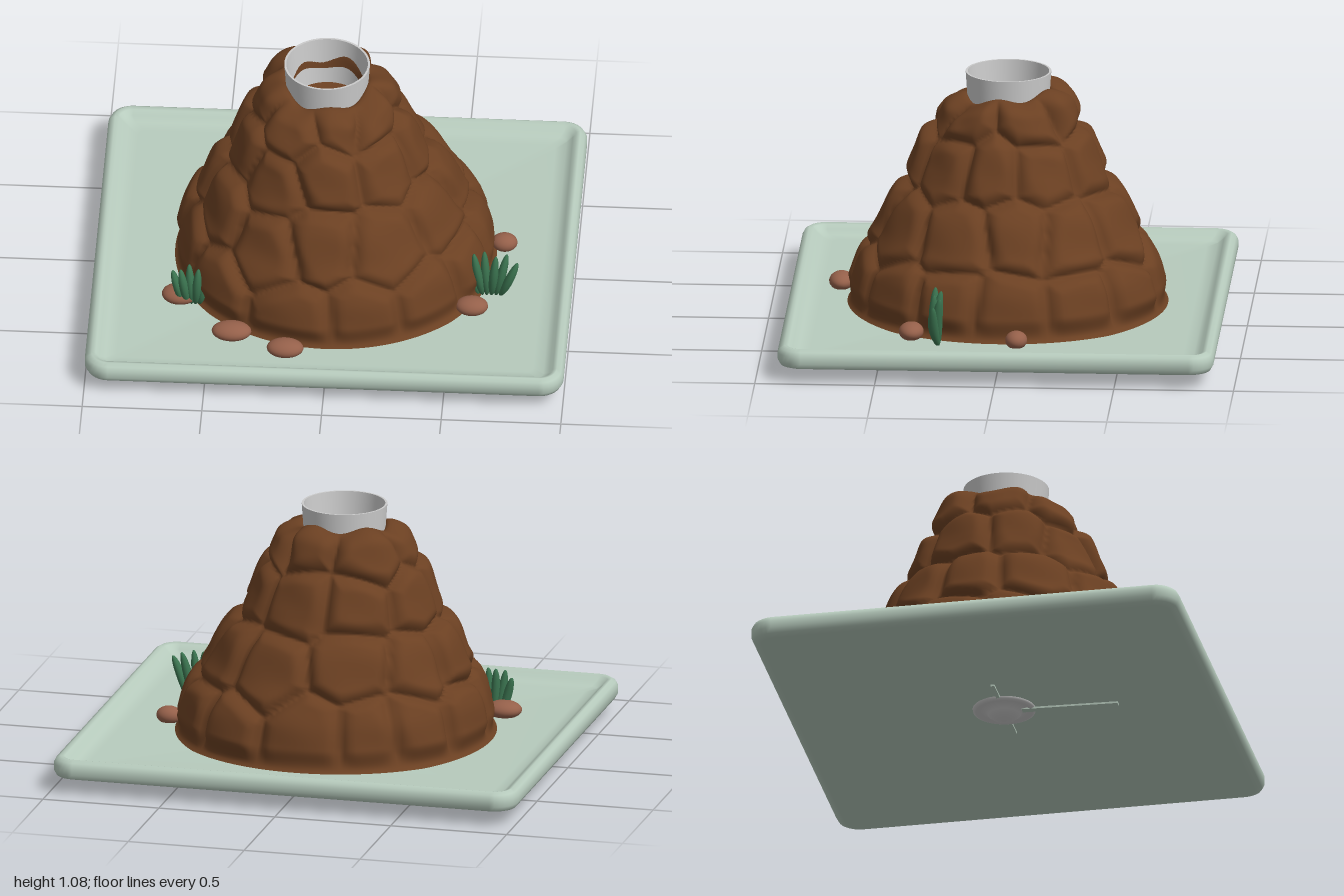
import * as THREE from 'three';
import { mergeVertices } from 'three/addons/utils/BufferGeometryUtils.js';

const mat = (name, color, side = THREE.FrontSide) => {
  const m = new THREE.MeshStandardMaterial({ color, side });
  m.name = name;
  return m;
};
const smooth = THREE.MathUtils.smoothstep;
const V2 = (a) => a.map(([x, y]) => new THREE.Vector2(x, y));

// Seeded random numbers in 0..1
function seeded(seed) {
  return () => {
    seed = (seed * 16807) % 2147483647;
    return seed / 2147483647;
  };
}

// Rounded-rectangle tray: one loop per [inset, y] step, capped above and below
function trayGeometry() {
  const steps = [[0.04, 0.055], [0.012, 0.064], [0, 0.085], [0, 0.115], [0.01, 0.134], [0.028, 0.145],
    [0.045, 0.14], [0.06, 0.122], [0.085, 0.105], [0.13, 0.098]];
  const arc = 8, pos = [], idx = [], n = arc * 4;
  for (const [inset, y] of steps) {
    const r = Math.max(0.03, 0.1 - inset);
    for (let c = 0; c < 4; c++) {
      const sx = c === 0 || c === 3 ? 1 : -1, sz = c < 2 ? 1 : -1;
      for (let i = 0; i < arc; i++) {
        const a = (c + i / (arc - 1)) * Math.PI / 2;
        pos.push(sx * (1 - inset - r) + r * Math.cos(a), y, sz * (0.91 - inset - r) + r * Math.sin(a));
      }
    }
  }
  const last = (steps.length - 1) * n, low = steps.length * n, high = low + 1;
  pos.push(0, 0.055, 0, 0, 0.08, 0);
  for (let i = 0; i < n; i++) {
    const j = (i + 1) % n;
    for (let s = 0; s < last; s += n) idx.push(s + i, s + n + i, s + j, s + j, s + n + i, s + n + j);
    idx.push(low, i, j, high, last + j, last + i);
  }
  const g = new THREE.BufferGeometry();
  g.setAttribute('position', new THREE.Float32BufferAttribute(pos, 3));
  g.setIndex(idx);
  g.computeVertexNormals();
  return g;
}

// Lathed mound swollen into rows of rounded boulders
function moundGeometry() {
  const profile = new THREE.SplineCurve(V2([[0.69, 0.08], [0.655, 0.11], [0.625, 0.17], [0.595, 0.27], [0.55, 0.35],
    [0.505, 0.42], [0.455, 0.53], [0.395, 0.61], [0.355, 0.7], [0.315, 0.8], [0.265, 0.88], [0.225, 0.95],
    [0.192, 0.985], [0.168, 0.975], [0.155, 0.93]]));
  let g = new THREE.LatheGeometry(profile.getSpacedPoints(110), 180);
  g.deleteAttribute('uv');
  g.deleteAttribute('normal');
  g = mergeVertices(g, 1e-4);

  const rnd = seeded(4217), seeds = [];
  for (const [y, r, n] of [[0.22, 0.61, 13], [0.47, 0.48, 11], [0.72, 0.35, 9], [0.92, 0.24, 7]]) {
    const start = rnd() * 6;
    for (let i = 0; i < n; i++) {
      const a = start + (i + (rnd() - 0.5) * 0.55) / n * Math.PI * 2;
      seeds.push([new THREE.Vector3(Math.sin(a) * r, y + (rnd() - 0.5) * 0.1, Math.cos(a) * r), 0.75 + rnd() * 0.4]);
    }
  }
  const p = g.attributes.position, v = new THREE.Vector3();
  for (let i = 0; i < p.count; i++) {
    v.fromBufferAttribute(p, i);
    const r = Math.hypot(v.x, v.z), a = Math.atan2(v.x, v.z), y = v.y;
    // Gap between the two nearest boulder centres is zero in the grooves
    let d1 = 9, d2 = 9, size = 1;
    for (const [s, k] of seeds) {
      const d = v.distanceTo(s);
      if (d < d1) { d2 = d1; d1 = d; size = k; } else if (d < d2) d2 = d;
    }
    const t = Math.min(1, (d2 - d1) / 0.11);
    const ripple = 0.004 * Math.sin(7 * a + 9 * y) * Math.sin(17 * y + 2 * a);
    const swell = (0.05 * size * (1 - (1 - t) ** 2) + ripple) * smooth(y, 0.1, 0.18) * smooth(r, 0.18, 0.24);
    const rim = smooth(y, 0.85, 0.97) * (0.008 - 0.018 * Math.cos(a) + 0.013 * Math.sin(5 * a + 1));
    const k = (r + swell * 0.93) / r;
    p.setXYZ(i, v.x * k - 0.04 * smooth(y, 0.1, 0.95), y + swell * 0.3 + rim, v.z * k);
  }
  g.computeVertexNormals();
  return g;
}

export function createModel() {
  const root = new THREE.Group();
  root.name = 'moundOnTray';
  const sage = mat('sageTray', 0xb7cbbd), brown = mat('brownEarth', 0x6b4022);
  const grey = mat('lightGrey', 0xcbcbcb, THREE.DoubleSide);
  const green = mat('leafGreen', 0x3b7450), clay = mat('clayPebble', 0x95604a);
  const add = (name, geo, m, x = 0, y = 0, z = 0, parent = root) => {
    const mesh = new THREE.Mesh(geo, m);
    mesh.name = name;
    mesh.position.set(x, y, z);
    parent.add(mesh);
    return mesh;
  };

  add('tray', trayGeometry(), sage);
  add('mound', moundGeometry(), brown);

  // Open cup set into the summit
  const cup = new THREE.Group();
  cup.name = 'cup';
  cup.position.x = -0.037;
  root.add(cup);
  add('cupOuterWall', new THREE.CylinderGeometry(0.179, 0.163, 0.23, 64, 1, true), grey, 0, 0.965, 0, cup);
  add('cupInnerWall', new THREE.CylinderGeometry(0.17, 0.152, 0.23, 64, 1, true), grey, 0, 0.965, 0, cup);
  add('cupRim', new THREE.RingGeometry(0.17, 0.179, 64), grey, 0, 1.08, 0, cup).rotation.x = -Math.PI / 2;
  add('cupFloor', new THREE.LatheGeometry(V2([[0.16, 0.87], [0.08, 0.84], [0, 0.83]]), 48), brown, 0, 0, 0, cup);

  // Pebbles around the foot
  const pebble = new THREE.SphereGeometry(1, 24, 16);
  for (const [x, z, w, d] of [[0.7, -0.075, 0.054, 0.046], [0.59, 0.37, 0.068, 0.052], [-0.63, 0.36, 0.076, 0.06],
    [-0.4, 0.602, 0.083, 0.055], [-0.17, 0.705, 0.077, 0.052]]) {
    add('pebble', pebble, clay, x, 0.122, z).scale.set(w, 0.038, d);
  }

  // Leaf tufts: slim blades fanned sideways, each from a foot to a tip
  const blade = new THREE.SphereGeometry(1, 12, 14);
  const bp = blade.attributes.position;
  for (let i = 0; i < bp.count; i++) {
    const y = bp.getY(i);
    bp.setZ(i, bp.getZ(i) + 0.5 * (1 - y * y));
  }
  blade.computeVertexNormals();
  const tuft = (name, z, foot, spread, tips) => {
    const group = new THREE.Group();
    group.name = name;
    root.add(group);
    tips.forEach(([tx, ty], i) => {
      const from = new THREE.Vector3(foot + (i - (tips.length - 1) / 2) * spread, 0.09, z);
      const dir = new THREE.Vector3(tx, ty, z + (i % 2 ? 0.018 : -0.008)).sub(from);
      const mid = from.clone().addScaledVector(dir, 0.5);
      const leaf = add('leaf', blade, green, mid.x, mid.y, mid.z, group);
      leaf.scale.set(0.019, dir.length() / 2, 0.021);
      leaf.quaternion.setFromUnitVectors(new THREE.Vector3(0, 1, 0), dir.normalize());
    });
  };
  tuft('leftTuft', 0.25, 0.655, 0.018,
    [[0.56, 0.305], [0.592, 0.315], [0.635, 0.31], [0.685, 0.305], [0.73, 0.3], [0.775, 0.275]]);
  tuft('rightTuft', 0.385, -0.58, 0.016,
    [[-0.66, 0.255], [-0.625, 0.28], [-0.59, 0.29], [-0.55, 0.285], [-0.515, 0.25]]);

  // Domed hub and thin arms beneath the tray
  add('hub', new THREE.LatheGeometry(V2([[0, 0], [0.025, 0.003], [0.05, 0.014], [0.068, 0.028], [0.078, 0.042],
    [0.1, 0.046], [0.118, 0.04], [0.13, 0.045], [0.132, 0.056]]), 48), grey, -0.08, 0, 0);
  add('longArm', new THREE.BoxGeometry(0.032, 0.008, 0.42), sage, -0.08, 0.04, 0.275).rotation.x = 0.02;
  add('crossArm', new THREE.BoxGeometry(0.48, 0.008, 0.016), sage, -0.09, 0.05, 0);
  return root;
}
